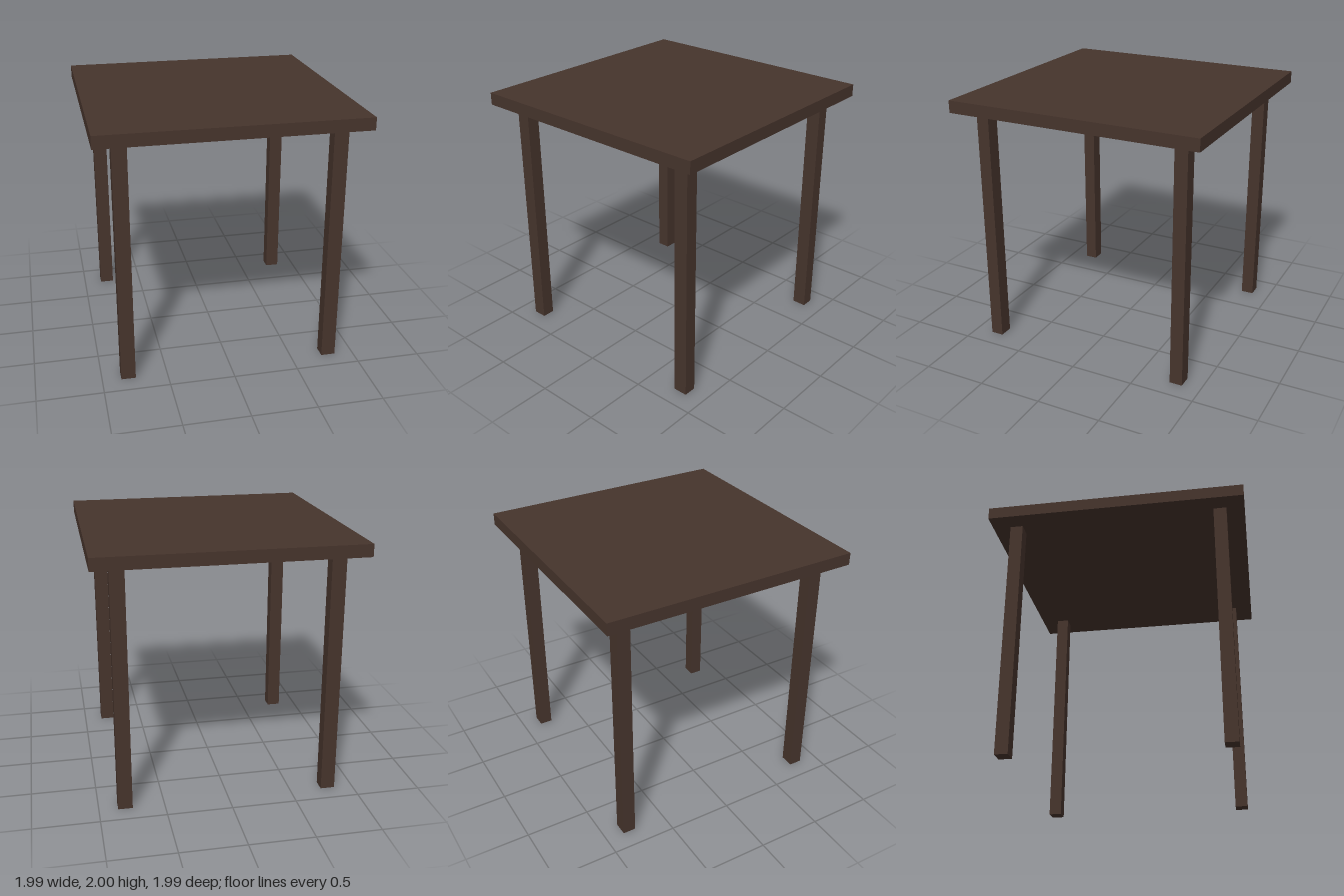
import * as THREE from 'three';

export function createModel() {
  const model = new THREE.Group();
  model.name = 'table';

  const darkWood = new THREE.MeshStandardMaterial({ color: 0x46342c });
  darkWood.name = 'dark wood';

  const addBox = (name, [w, h, d], [x, y, z]) => {
    const mesh = new THREE.Mesh(new THREE.BoxGeometry(w, h, d), darkWood);
    mesh.name = name;
    mesh.position.set(x, y, z);
    model.add(mesh);
  };

  // Square slab top
  const height = 2, thickness = 0.095, legHeight = height - thickness;
  addBox('tableTop', [1.99, thickness, 1.99], [0, height - thickness / 2, 0]);

  // Four straight legs, set in from the corners
  for (const [side, x] of [['Left', 0.8], ['Right', -0.8]]) {
    for (const [end, z] of [['front', 0.806], ['back', -0.806]]) {
      addBox(`${end}${side}Leg`, [0.11, legHeight, 0.1], [x, legHeight / 2, z]);
    }
  }

  return model;
}
